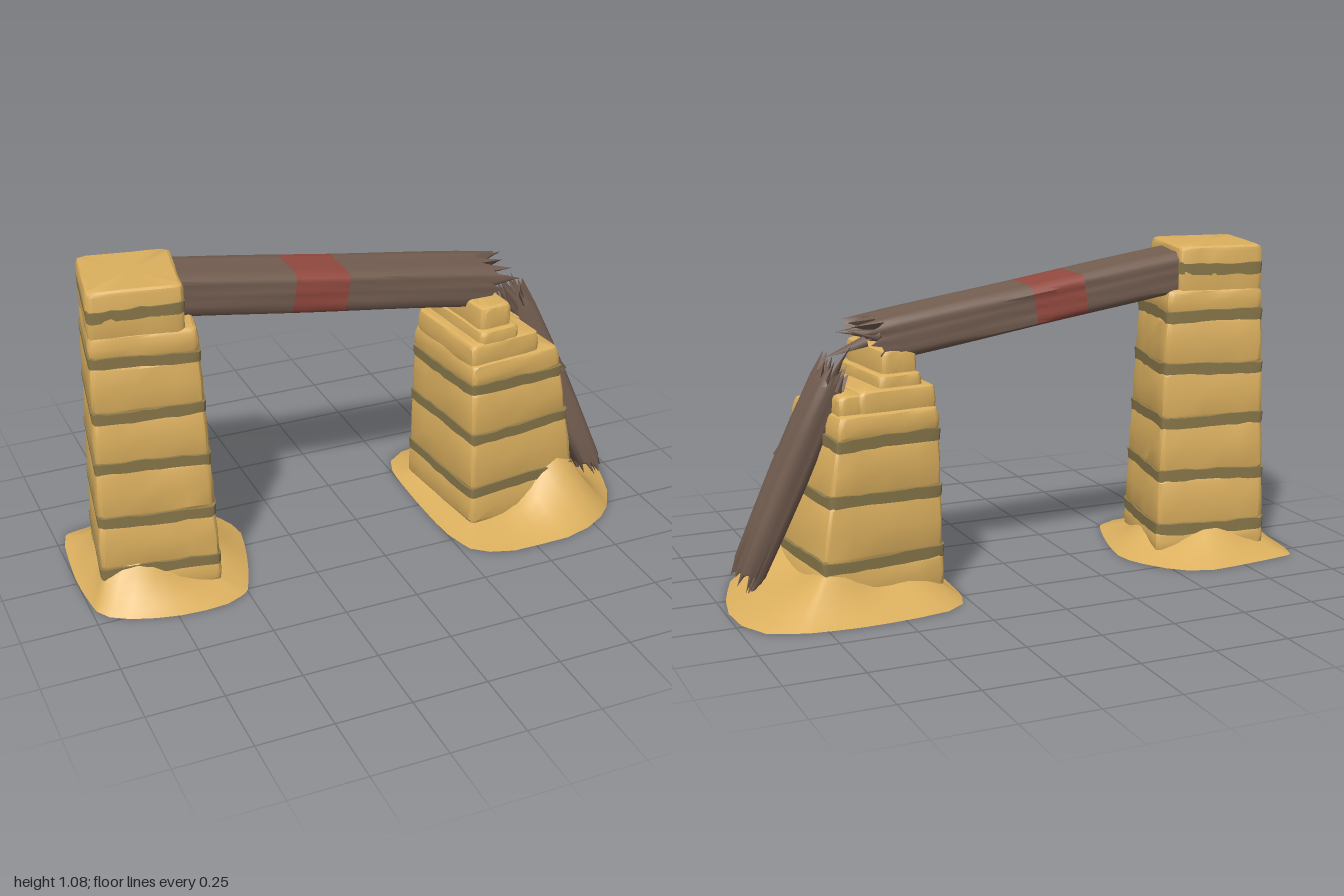
import * as THREE from 'three';
import { toCreasedNormals } from 'three/addons/utils/BufferGeometryUtils.js';

const material = (name, color, side = THREE.FrontSide) =>
  Object.assign(new THREE.MeshStandardMaterial({ color, side }), { name });
const sand = material('sandstone', 0xdcb05f, THREE.DoubleSide);
const mortar = material('mortar', 0x8b794b);
const wood = material('weatheredWood', 0x745e51, THREE.DoubleSide);
const red = material('fadedRedPaint', 0x934a40);

// Repeatable noise in -1..1
const noise = (a, b = 0) => {
  const s = Math.sin(a * 12.9898 + b * 78.233 + 1.7) * 43758.5453;
  return (s - Math.floor(s)) * 2 - 1;
};

// Rounded rectangle in the xz plane, counter-clockwise from above
function ring([cx, cz, w, d], y, angle = 0, r = 0.02, sub = 5) {
  const pts = [];
  const corners = [[1, 1], [-1, 1], [-1, -1], [1, -1]];
  const local = [];
  corners.forEach(([sx, sz], c) => {
    for (let k = 0; k < 4; k++) {
      const a = (c + k / 3) * Math.PI / 2;
      local.push([sx * (w / 2 - r) + Math.cos(a) * r, sz * (d / 2 - r) + Math.sin(a) * r]);
    }
    const [nx, nz] = corners[(c + 1) % 4];
    const a = (c + 1) * Math.PI / 2, p = local[local.length - 1];
    const q = [nx * (w / 2 - r) + Math.cos(a) * r, nz * (d / 2 - r) + Math.sin(a) * r];
    for (let k = 1; k < sub; k++) local.push([p[0] + (q[0] - p[0]) * k / sub, p[1] + (q[1] - p[1]) * k / sub]);
  });
  const c = Math.cos(angle), s = Math.sin(angle);
  for (const [x, v] of local) pts.push(new THREE.Vector3(cx + x * c - v * s, y, cz - (x * s + v * c)));
  return pts;
}

// Skin rings together; the caps are optional centre points
function loft(rings, bottom, top, crease = 0.5) {
  const n = rings[0].length, pos = [], idx = [];
  rings.forEach(r => r.forEach(p => pos.push(p.x, p.y, p.z)));
  for (let i = 0; i < rings.length - 1; i++) for (let j = 0; j < n; j++) {
    const a = i * n + j, b = i * n + (j + 1) % n;
    idx.push(a, b, b + n, a, b + n, a + n);
  }
  const cap = (p, start, flip) => {
    const c = pos.length / 3;
    pos.push(p.x, p.y, p.z);
    for (let j = 0; j < n; j++) {
      const a = start + j, b = start + (j + 1) % n;
      flip ? idx.push(c, b, a) : idx.push(c, a, b);
    }
  };
  if (bottom) cap(bottom, 0, true);
  if (top) cap(top, (rings.length - 1) * n, false);
  const g = new THREE.BufferGeometry();
  g.setAttribute('position', new THREE.Float32BufferAttribute(pos, 3));
  g.setIndex(idx);
  return toCreasedNormals(g, crease);
}

function add(parent, name, geometry, mat) {
  const m = new THREE.Mesh(geometry, mat);
  m.name = name;
  parent.add(m);
}
const centre = r => r.reduce((s, p) => s.add(p), new THREE.Vector3()).divideScalar(r.length);
const grow = ([x, z, w, d], g) => [x, z, w + 2 * g, d + 2 * g];

// One worn stone course
function block(parent, name, y0, y1, plan, angle) {
  const steps = [[y0, -0.012], [y0 + 0.006, -0.003], [y0 + 0.016, 0], [(y0 + y1) / 2, 0.002],
    [y1 - 0.016, 0], [y1 - 0.006, -0.003], [y1, -0.012]];
  const rings = steps.map(([y, g], i) => ring(grow(plan(y), g), y, angle).map((p, j) => {
    p.x += noise(j, i + y0) * 0.0015;
    p.z += noise(j + 50, i + y0) * 0.0015;
    return p;
  }));
  add(parent, name, loft(rings, centre(rings[0]), centre(rings[6])), sand);
}

// Ragged mortar band
function band(parent, y, plan, angle) {
  const steps = [[-0.022, -0.012], [-0.02, 0.002], [0.018, 0.004], [0.021, -0.012]];
  const rings = steps.map(([dy, g], i) => ring(grow(plan(y), g), y + dy, angle, 0.018, 9).map((p, j) => {
    p.y += noise(j, (i >> 1) + y) * 0.003 + Math.sin(j * 0.35 + y * 20) * 0.004;
    return p;
  }));
  add(parent, 'mortarBand', loft(rings, centre(rings[0]), centre(rings[3])), mortar);
}

function pillar(name, plan, angle, bands, top) {
  const g = new THREE.Group();
  g.name = name;
  const cuts = [0.03, ...bands, top];
  for (let i = 0; i < cuts.length - 1; i++) {
    block(g, 'stoneCourse', cuts[i] + (i ? 0.008 : 0), cuts[i + 1] - (i < bands.length ? 0.008 : 0), plan, angle);
  }
  bands.forEach(y => band(g, y, plan, angle));
  return g;
}

// Sand drift: open skirt from a ground outline up to the pillar walls
function drift(parent, name, plan, angle, outline, base, peaks) {
  const inner = ring(grow(plan(0.1), -0.006), 0, angle, 0.02, 7);
  const c = centre(inner);
  const edge = new THREE.CatmullRomCurve3(outline.map(([x, z]) => new THREE.Vector3(x, 0.01, z)), true, 'catmullrom', 0.25).getPoints(400);
  const outer = inner.map(p => {
    const dir = p.clone().sub(c).normalize();
    let best = edge[0], score = -2;
    for (const e of edge) {
      const s = e.clone().sub(c).setY(0).normalize().dot(dir);
      if (s > score) { score = s; best = e; }
    }
    return best;
  });
  inner.forEach(p => {
    p.y = base + peaks.reduce((s, [x, z, h, w]) => s + h * Math.exp(-((p.x - x) ** 2 + (p.z - z) ** 2) / (w * w)), 0);
  });
  const rings = [0, 0.2, 0.4, 0.6, 0.8, 1].map(t => inner.map((p, j) => {
    const q = outer[j].clone().lerp(p, t);
    q.y = 0.01 + (p.y - 0.01) * t ** 1.12;
    return q;
  }));
  add(parent, name, loft(rings, null, null, 1.2), sand);
}

// Grooved timber cross-section, running along local y
const timber = (w, d, y, seed) => ring([0, 0, w, d], y, 0, 0.026, 6).map((p, j) => {
  const k = 1 + 0.025 * noise(j, seed) + 0.01 * Math.sin(y * 9 + j);
  return p.set(p.x * k, p.y, p.z * k);
});
const splinter = (r, length, seed) => r.map((p, j) => {
  const q = p.clone();
  q.y += length(p) * (j % 3 === 0 ? 0.55 + 0.45 * Math.abs(noise(j, seed)) : 0.25 * noise(j, seed + 3));
  return q;
});
const aim = (o, from, to) => {
  const a = new THREE.Vector3(...from), d = new THREE.Vector3(...to).sub(a);
  o.position.copy(a);
  o.quaternion.setFromUnitVectors(new THREE.Vector3(0, 1, 0), d.clone().normalize());
  return d.length();
};

export function createModel() {
  const model = new THREE.Group();
  model.name = 'ruinedGateway';

  // Tall pillar; its cap is cut back on the inner side to seat the beam
  const tallPlan = y => [-0.725 - 0.01 * y, -0.018, 0.395 - 0.065 * y, 0.382 - 0.07 * y];
  const capPlan = () => [-0.752, -0.02, 0.296, 0.306];
  const tall = pillar('tallPillar', tallPlan, -0.17, [0.115, 0.3, 0.49, 0.67, 0.85], 0.94);
  block(tall, 'capStone', 0.9, 1.085, capPlan, -0.17);
  band(tall, 1.01, capPlan, -0.17);
  model.add(tall);
  drift(model, 'tallPillarSand', tallPlan, -0.17,
    [[-0.95, -0.31], [-0.63, -0.35], [-0.51, -0.3], [-0.42, -0.17], [-0.4, -0.07], [-0.44, 0.1], [-0.5, 0.26],
      [-0.6, 0.31], [-0.75, 0.305], [-0.88, 0.27], [-0.98, 0.2], [-1, 0], [-0.985, -0.2]],
    0.035, [[-0.84, 0.16, 0.11, 0.14], [-0.92, -0.06, 0.06, 0.11], [-0.7, -0.2, 0.08, 0.12], [-0.52, 0.0, 0.05, 0.1]]);

  // Broken pillar with crumbled steps on top
  const shortPlan = y => [0.537 - 0.075 * y, -0.01, 0.447 - 0.165 * y, 0.438 - 0.083 * y];
  const short = pillar('brokenPillar', shortPlan, 0.1, [0.155, 0.36, 0.54], 0.63);
  [[0.6, 0.7, [0.455, -0.005, 0.265, 0.36]], [0.66, 0.74, [0.435, 0.005, 0.15, 0.33]],
    [0.7, 0.815, [0.43, 0.005, 0.12, 0.29]], [0.6, 0.69, [0.59, -0.09, 0.11, 0.2]]]
    .forEach(([a, b, p]) => block(short, 'crumbledStep', a, b, () => p, 0.1));
  model.add(short);
  drift(model, 'brokenPillarSand', shortPlan, 0.1,
    [[0.27, -0.31], [0.36, -0.375], [0.6, -0.4], [0.8, -0.385], [0.95, -0.32], [0.995, -0.17], [0.97, 0], [0.91, 0.18],
      [0.83, 0.3], [0.74, 0.36], [0.64, 0.395], [0.4, 0.395], [0.29, 0.34], [0.25, 0.2], [0.245, 0], [0.25, -0.2]],
    0.035, [[0.69, 0.19, 0.165, 0.13], [0.69, -0.23, 0.1, 0.14], [0.76, -0.02, 0.05, 0.12], [0.42, -0.2, 0.04, 0.1]]);

  // Fallen lintel with a painted red section and a splintered end
  const beam = new THREE.Group();
  beam.name = 'lintelBeam';
  const L = aim(beam, [-0.63, 1.002, -0.033], [0.47, 0.838, -0.033]);
  const span = (a, b) => [0, 1, 2, 3, 4].map(k => timber(0.135, 0.205, a + (b - a) * k / 4, 2));
  const near = span(0, 0.395), paint = span(0.395, 0.58), far = span(0.58, L - 0.07);
  far.push(splinter(timber(0.13, 0.203, L, 2), p => 0.05 - p.x * 0.8, 5));
  add(beam, 'beamNearEnd', loft(near, centre(near[0]), null, 0.9), wood);
  add(beam, 'redPaintedSection', loft(paint, null, null, 0.9), red);
  add(beam, 'beamBrokenEnd', loft(far, null, new THREE.Vector3(0, L - 0.05, 0), 0.9), wood);
  model.add(beam);

  // Snapped-off piece leaning against the broken pillar
  const plank = new THREE.Group();
  plank.name = 'leaningTimber';
  const P = aim(plank, [0.877, 0.1, 0.038], [0.635, 0.71, -0.066]);
  const sections = [0, 0.25, 0.5, 0.75, 1].map(t => timber(0.085 + 0.014 * Math.sin(t * 3), 0.152, t * P, 8));
  sections.unshift(splinter(timber(0.07, 0.145, -0.01, 8), () => -0.06, 4));
  sections.push(splinter(timber(0.075, 0.145, P + 0.01, 8), () => 0.09, 9));
  add(plank, 'leaningTimberBody', loft(sections, new THREE.Vector3(0, 0.03, 0), new THREE.Vector3(0, P - 0.04, 0), 0.9), wood);
  model.add(plank);

  // Loose splinters around the break
  [[[0.48, 0.86, -0.12], [0.59, 0.885, -0.11]], [[0.48, 0.85, 0.03], [0.57, 0.85, 0.045]],
    [[0.5, 0.83, -0.05], [0.65, 0.79, -0.07]], [[0.64, 0.7, -0.05], [0.55, 0.83, -0.07]],
    [[0.67, 0.68, -0.1], [0.625, 0.79, -0.12]], [[0.77, 0.46, 0.04], [0.69, 0.62, 0.0]],
    [[0.87, 0.14, 0.07], [0.895, 0.045, 0.09]]].forEach(([a, b]) => {
    const s = new THREE.Mesh(undefined, wood);
    s.name = 'splinter';
    const len = aim(s, a, b);
    s.geometry = new THREE.ConeGeometry(0.02, len, 5).translate(0, len / 2, 0);
    model.add(s);
  });
  return model;
}
